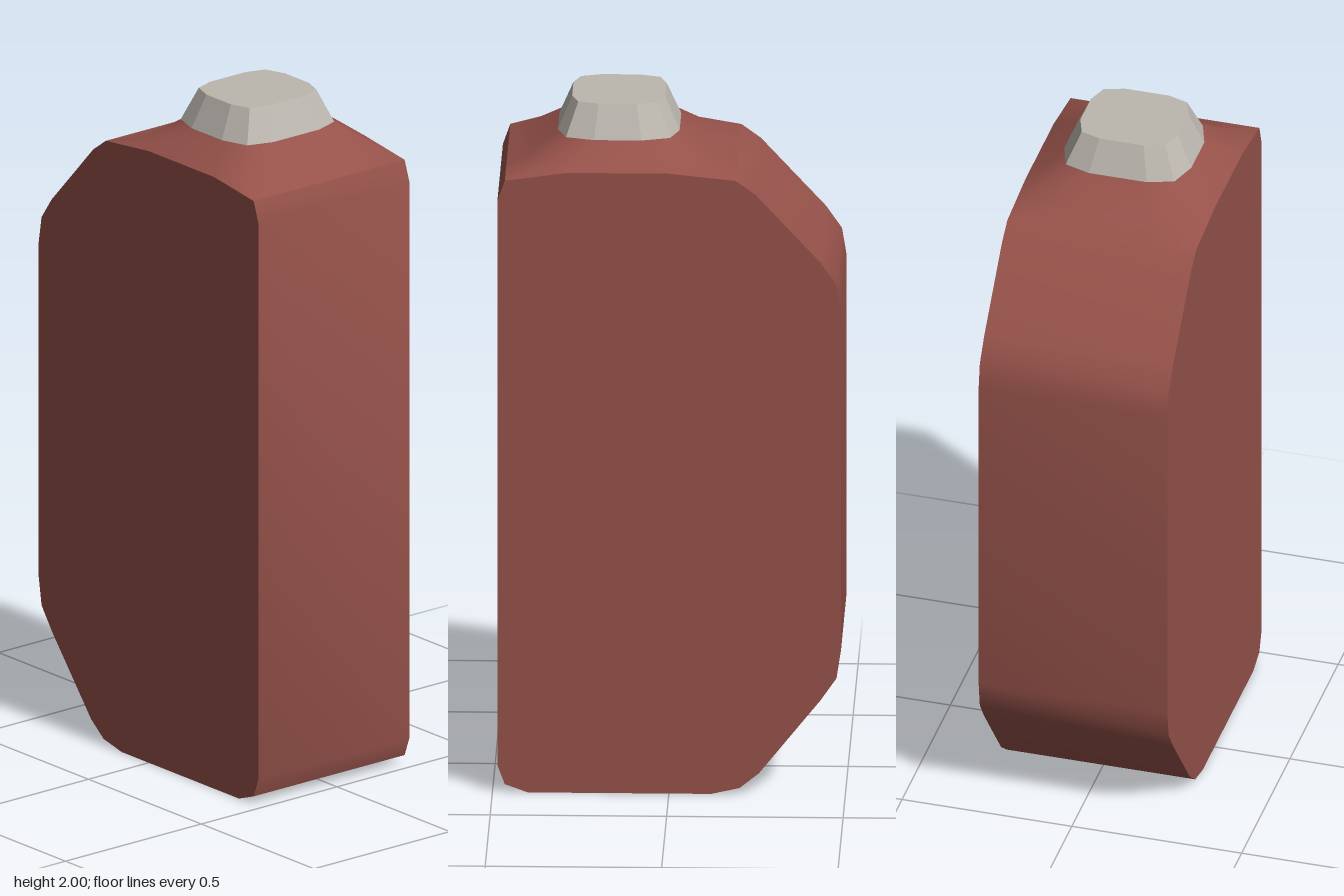
import * as THREE from 'three';
import { mergeGeometries, toCreasedNormals } from 'three/addons/utils/BufferGeometryUtils.js';

const DEPTH = 0.278;

// Joins rows of points into quads; closed rows wrap round.
function loft(rows, closed) {
  const pos = [];
  for (let i = 0; i < rows.length - 1; i++) {
    const n = rows[i].length;
    for (let j = 0; j < (closed ? n : n - 1); j++) {
      const k = (j + 1) % n;
      const a = rows[i][j], b = rows[i][k], c = rows[i + 1][k], d = rows[i + 1][j];
      pos.push(...a, ...b, ...c, ...a, ...c, ...d);
    }
  }
  const g = new THREE.BufferGeometry();
  g.setAttribute('position', new THREE.Float32BufferAttribute(pos, 3));
  return g;
}

// Twelve-point ring from left and right quarters, mirrored front to back.
function ring(L, R) {
  const m = ([x, y, z]) => [x, y, -z];
  return [L[0], R[0], R[1], R[2], m(R[2]), m(R[1]), m(R[0]), m(L[0]), m(L[1]), m(L[2]), L[2], L[1]];
}

// Flat end panel of the body.
function panel(points, back) {
  const s = back ? -1 : 1;
  const g = new THREE.ShapeGeometry(new THREE.Shape(points.map(([x, y]) => new THREE.Vector2(x * s, y))));
  if (back) g.rotateY(Math.PI);
  g.translate(0, 0, DEPTH * s);
  const flat = g.toNonIndexed();
  flat.deleteAttribute('uv');
  flat.deleteAttribute('normal');
  return flat;
}

export function createModel() {
  const group = new THREE.Group();
  const red = new THREE.MeshStandardMaterial({ color: 0x96524a });
  red.name = 'brick red';
  const grey = new THREE.MeshStandardMaterial({ color: 0xbcb7af });
  grey.name = 'warm grey';

  // Outline from the right shoulder, down round the base, to the left shoulder
  const side = [
    [0.465, 1.81], [0.486, 1.75], [0.486, 0.08], [0.465, 0.024], [0.4, 0], [-0.12, 0],
    [-0.2, 0.018], [-0.255, 0.062], [-0.43, 0.28], [-0.475, 0.345], [-0.488, 0.43],
    [-0.488, 1.43], [-0.475, 1.51], [-0.43, 1.575], [-0.245, 1.775], [-0.19, 1.815],
  ];
  const outline = [...side, [0, 1.835], [0.29, 1.835]];
  const walls = loft([DEPTH, -DEPTH].map((z) => side.map(([x, y]) => [x, y, z])), false);

  // Shoulder rising from the rim to the neck
  const neck = ring(
    [[0.08, 1.905, 0.187], [0, 1.905, 0.16], [-0.025, 1.905, 0.085]],
    [[0.215, 1.905, 0.187], [0.295, 1.905, 0.16], [0.32, 1.905, 0.085]]);
  const shoulder = loft([
    ring([[0, 1.835, DEPTH], [-0.19, 1.815, DEPTH], [-0.19, 1.815, 0.12]],
      [[0.29, 1.835, DEPTH], [0.465, 1.81, DEPTH], [0.465, 1.81, 0.12]]),
    ring([[0.035, 1.866, 0.238], [-0.085, 1.842, 0.235], [-0.11, 1.832, 0.11]],
      [[0.258, 1.866, 0.238], [0.375, 1.85, 0.225], [0.4, 1.841, 0.11]]),
    neck,
  ], true);

  const body = new THREE.Mesh(toCreasedNormals(
    mergeGeometries([walls, shoulder, panel(outline, false), panel(outline, true)]), 0.65), red);
  body.name = 'body';
  group.add(body);

  // Faceted cap with a flat top
  const top = ring(
    [[0.095, 2, 0.144], [0.035, 2, 0.123], [0.016, 2, 0.065]],
    [[0.203, 2, 0.144], [0.261, 2, 0.123], [0.28, 2, 0.065]]);
  const capGeometry = loft([neck, top, top.map(() => [0.148, 2, 0])], true);
  capGeometry.computeVertexNormals();
  const cap = new THREE.Mesh(capGeometry, grey);
  cap.name = 'cap';
  group.add(cap);

  return group;
}
